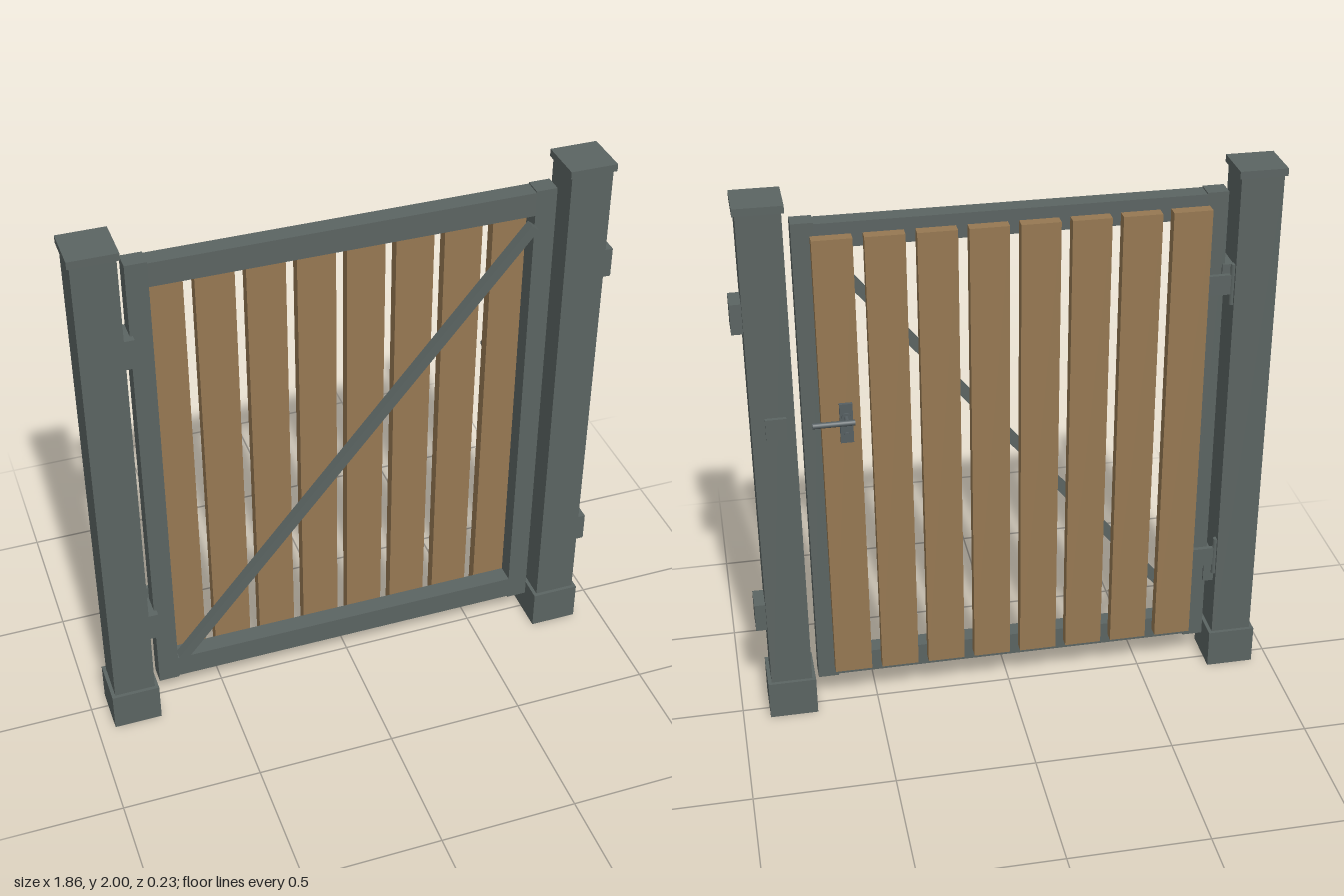
import * as THREE from 'three';

const steel = new THREE.MeshStandardMaterial({ name: 'grey painted steel', color: 0x5b6462 });
const wood = new THREE.MeshStandardMaterial({ name: 'brown wood', color: 0x967852 });
const handleMetal = new THREE.MeshStandardMaterial({ name: 'dark handle metal', color: 0x565f62 });

export function createModel() {
  const model = new THREE.Group();
  model.name = 'gardenGate';

  const add = (parent, name, geometry, material) => {
    const mesh = new THREE.Mesh(geometry, material);
    mesh.name = name;
    parent.add(mesh);
    return mesh;
  };
  // Box given by its limits on each axis
  const box = (parent, name, [x0, x1], [y0, y1], [z0, z1], material = steel) => {
    const mesh = add(parent, name, new THREE.BoxGeometry(x1 - x0, y1 - y0, z1 - z0), material);
    mesh.position.set((x0 + x1) / 2, (y0 + y1) / 2, (z0 + z1) / 2);
    return mesh;
  };
  const group = (name) => {
    const g = new THREE.Group();
    g.name = name;
    model.add(g);
    return g;
  };

  // Posts with base sleeve, flat cap and two hinge blocks on the +x face
  for (const [side, x] of [['right', -0.849], ['left', 0.815]]) {
    const post = group(side + 'Post');
    const square = (half) => [[x - half, x + half], [0.028 - half, 0.028 + half]];
    const [px, pz] = square(0.074), [bx, bz] = square(0.087), [cx, cz] = square(0.083);
    box(post, 'postShaft', px, [0.01, 1.98], pz);
    box(post, 'postBase', bx, [0, 0.147], bz);
    box(post, 'postCap', cx, [1.974, 2], cz);
    for (const y of [0.417, 1.6]) {
      box(post, 'hingeBlock', [x + 0.073, x + 0.113], [y - 0.054, y + 0.054], [-0.018, 0.08]);
    }
  }

  // Gate frame
  const frame = group('gateFrame');
  const depth = [-0.01, 0.056];
  box(frame, 'rightStile', [-0.746, -0.672], [0.12, 1.916], depth);
  box(frame, 'leftStile', [0.64, 0.714], [0.12, 1.916], depth);
  box(frame, 'topRail', [-0.673, 0.641], [1.824, 1.911], depth);
  box(frame, 'bottomRail', [-0.673, 0.641], [0.126, 0.213], depth);

  // Diagonal brace in front of the frame
  const from = new THREE.Vector2(-0.661, 0.238), to = new THREE.Vector2(0.628, 1.8);
  const run = to.clone().sub(from);
  const brace = add(frame, 'diagonalBrace', new THREE.BoxGeometry(run.length(), 0.034, 0.036), steel);
  brace.position.set((from.x + to.x) / 2, (from.y + to.y) / 2, 0.073);
  brace.rotation.z = run.angle();

  // Vertical boards on the back
  const boards = group('boards');
  for (let i = 0; i < 8; i++) {
    const x = -0.615 + i * 0.1717;
    box(boards, 'board', [x - 0.067, x + 0.067], [0.165, 1.87], [-0.051, -0.01], wood);
  }

  // Strap hinges and pins
  const hinges = group('hinges');
  for (const y of [0.48, 1.584]) {
    box(hinges, 'hingeStrap', [-0.775, -0.682], [y - 0.036, y + 0.036], [-0.034, -0.018]);
    const pin = add(hinges, 'hingePin', new THREE.CylinderGeometry(0.01, 0.01, 0.15, 12), steel);
    pin.position.set(-0.772, y, -0.028);
  }

  // Lever handle with its back plate and lock cylinder
  const handle = group('handle');
  box(handle, 'handlePlate', [0.547, 0.592], [1.128, 1.276], [-0.063, -0.05], handleMetal);
  const rod = (name, radius, a, b) => {
    const curve = new THREE.CatmullRomCurve3([a, b].map((p) => new THREE.Vector3(...p)));
    const dir = curve.points[1].clone().sub(curve.points[0]);
    const mesh = add(handle, name, new THREE.CylinderGeometry(radius, radius, dir.length(), 16), handleMetal);
    mesh.position.copy(curve.getPoint(0.5));
    mesh.quaternion.setFromUnitVectors(new THREE.Vector3(0, 1, 0), dir.normalize());
  };
  rod('handleCollar', 0.016, [0.57, 1.228, -0.06], [0.57, 1.228, -0.072]);
  rod('handleStem', 0.008, [0.57, 1.228, -0.06], [0.57, 1.228, -0.112]);
  rod('handleLever', 0.01, [0.563, 1.228, -0.107], [0.707, 1.228, -0.107]);
  rod('lockCylinder', 0.01, [0.57, 1.16, -0.06], [0.57, 1.16, -0.072]);

  // Strike plate on the latch post
  box(model, 'strikePlate', [0.77, 0.842], [1.16, 1.24], [-0.06, -0.045]);

  return model;
}
